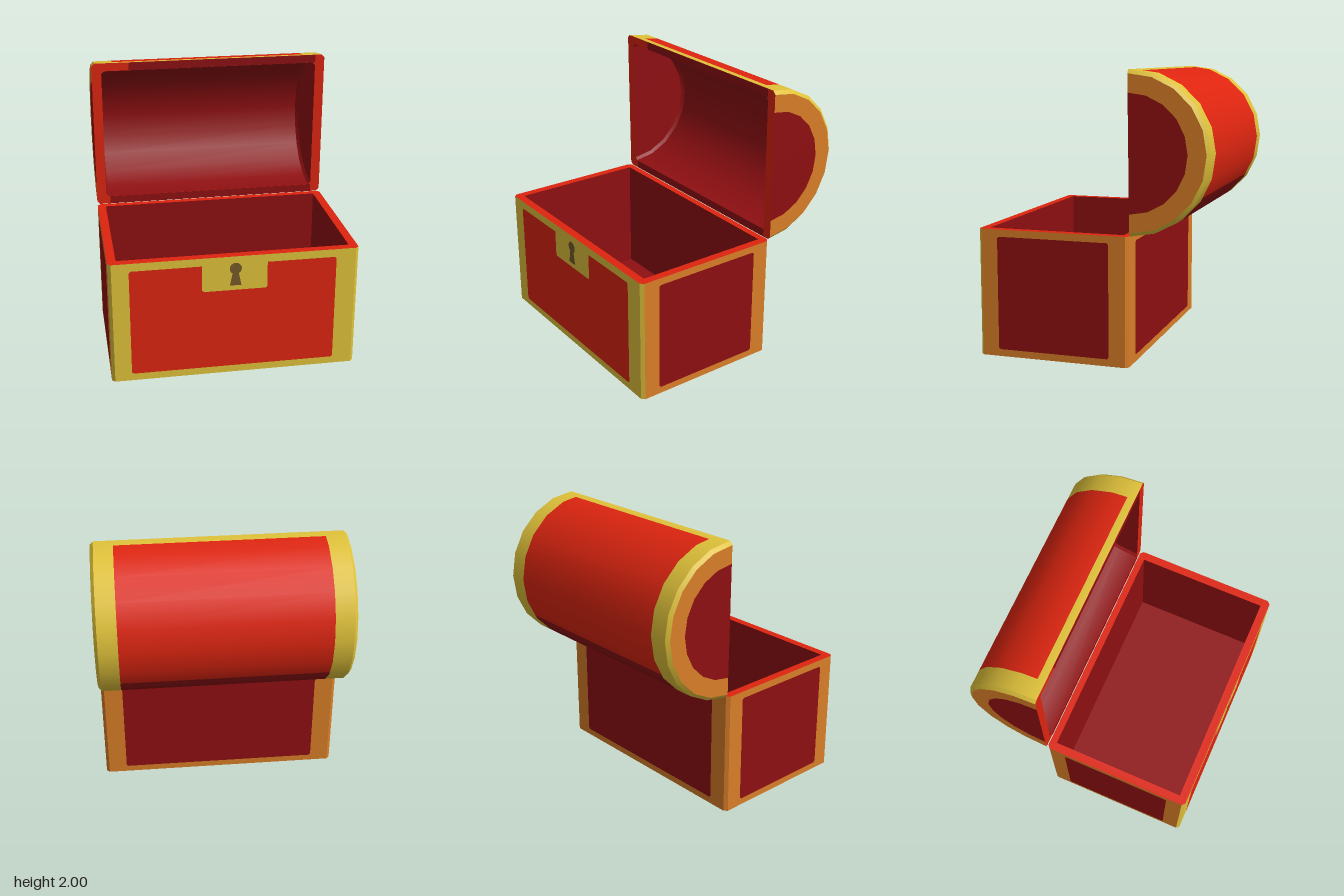
import * as THREE from 'three';

const mat = (name, color, side = THREE.FrontSide) => {
  const m = new THREE.MeshStandardMaterial({ color, side });
  m.name = name;
  return m;
};

export function createModel() {
  const red = mat('red', 0xde2510);
  const darkRed = mat('dark red', 0x8f0f12);
  const gold = mat('gold', 0xe0c23a);
  const orange = mat('orange brown', 0xd97e28);
  const brown = mat('keyhole brown', 0x755a28);

  const model = new THREE.Group();
  model.name = 'treasureChest';
  const add = (parent, name, geometry, material) => {
    const mesh = new THREE.Mesh(geometry, material);
    mesh.name = name;
    parent.add(mesh);
    return mesh;
  };

  // Rectangle with clipped corners, as a list of points
  const clipped = (x0, x1, y0, y1, c) => [
    [x0 + c, y0], [x1 - c, y0], [x1, y0 + c], [x1, y1 - c],
    [x1 - c, y1], [x0 + c, y1], [x0, y1 - c], [x0, y0 + c],
  ].map(([x, y]) => new THREE.Vector2(x, y));
  const rectPath = (x0, x1, y0, y1) => new THREE.Path([[x0, y0], [x1, y0], [x1, y1], [x0, y1]]
    .map(([x, y]) => new THREE.Vector2(x, y)));

  // ---- Base ----
  const base = new THREE.Group();
  base.name = 'base';
  model.add(base);
  const H = 0.9, W = 0.87, zF = 0.82, zB = -0.27, C = 0.022, floorY = 0.05;

  // Upright wall from (ax, az) to (bx, bz), facing right of travel seen from above
  const wall = (name, ax, az, bx, bz, y0, y1, material) => {
    const dx = bx - ax, dz = bz - az;
    const m = add(base, name, new THREE.PlaneGeometry(Math.hypot(dx, dz), y1 - y0), material);
    m.position.set((ax + bx) / 2, (y0 + y1) / 2, (az + bz) / 2);
    m.rotation.y = Math.atan2(-dz, dx);
  };

  // Outer walls with narrow corner chamfers
  const outline = clipped(-W, W, -zF, -zB, C);
  const wallMats = [gold, gold, orange, orange, orange, orange, orange, gold];
  const wallNames = ['frontWall', 'frontCorner', 'leftWall', 'backCorner',
    'backWall', 'backCorner', 'rightWall', 'frontCorner'];
  outline.forEach((p, i) => {
    const q = outline[(i + 1) % 8];
    wall(wallNames[i], p.x, -p.y, q.x, -q.y, 0, H, wallMats[i]);
  });

  // Inner walls and floor
  const inX = 0.81, inF = 0.76, inB = -0.22;
  const inner = [[-inX, inF], [-inX, inB], [inX, inB], [inX, inF]];
  inner.forEach((p, i) => wall('innerWall', ...p, ...inner[(i + 1) % 4], floorY, H, darkRed));
  const floor = add(base, 'floor', new THREE.PlaneGeometry(2 * inX, inF - inB), darkRed);
  floor.rotation.x = -Math.PI / 2;
  floor.position.set(0, floorY, (inF + inB) / 2);

  // Rim and underside
  const rimShape = new THREE.Shape(outline);
  rimShape.holes.push(rectPath(-inX, inX, -inF, -inB));
  const rim = add(base, 'rim', new THREE.ShapeGeometry(rimShape), red);
  rim.rotation.x = -Math.PI / 2;
  rim.position.y = H;
  const under = add(base, 'underside',
    new THREE.ShapeGeometry(new THREE.Shape(clipped(-W, W, zB, zF, C))), red);
  under.rotation.x = Math.PI / 2;

  // Painted panels on the four sides
  const panel = (name, w, h, x, y, z, turn, material) => {
    const m = add(base, name, new THREE.ShapeGeometry(
      new THREE.Shape(clipped(-w / 2, w / 2, -h / 2, h / 2, 0.012))), material);
    m.position.set(x, y, z);
    m.rotation.y = turn;
  };
  panel('frontPanel', 1.44, 0.79, -0.01, 0.448, zF + 0.002, 0, red);
  panel('backPanel', 1.43, 0.8, 0, 0.45, zB - 0.002, Math.PI, darkRed);
  for (const s of [-1, 1])
    panel('sidePanel', 0.81, 0.8, s * (W + 0.002), 0.45, 0.275, s * Math.PI / 2, darkRed);

  // Lock plate and keyhole
  panel('lockPlate', 0.455, 0.25, -0.005, 0.774, zF + 0.004, 0, gold);
  const key = new THREE.Shape();
  key.moveTo(-0.04, 0.685);
  key.lineTo(0.04, 0.685);
  key.lineTo(0.022, 0.775);
  key.absarc(0, 0.812, 0.042, -1.03, Math.PI + 1.03, false);
  key.lineTo(-0.022, 0.775);
  add(base, 'keyhole', new THREE.ShapeGeometry(key), brown).position.z = zF + 0.006;

  // ---- Lid, open and resting on the back edge ----
  const lid = new THREE.Group();
  lid.name = 'lid';
  lid.position.set(0, 1.45, -0.27);
  lid.rotation.x = 0.012;
  model.add(lid);
  const STEP = 18;

  // Ten-sided half barrel strip swept from profile point (x0, r0) to (x1, r1)
  const arc = (name, [x0, r0], [x1, r1], a0, a1, material) => {
    const angles = [a0];
    for (let a = -90; a < a1; a += STEP) if (a > a0) angles.push(a);
    angles.push(a1);
    const len = Math.hypot(x1 - x0, r1 - r0), nx = (r0 - r1) / len, nr = (x1 - x0) / len;
    const pos = [], nor = [], idx = [];
    angles.forEach((a, i) => {
      const t = THREE.MathUtils.degToRad(a), s = Math.sin(t), c = Math.cos(t);
      const off = ((a + 90) % STEP) - STEP / 2;
      const k = Math.cos(Math.PI / 20) / Math.cos(THREE.MathUtils.degToRad(off));
      for (const [x, r] of [[x0, r0], [x1, r1]]) {
        pos.push(x, r * k * s, -r * k * c);
        nor.push(nx, nr * s, -nr * c);
      }
      if (i) {
        const j = 2 * i - 2;
        idx.push(j, j + 2, j + 1, j + 1, j + 2, j + 3);
      }
    });
    const g = new THREE.BufferGeometry();
    g.setAttribute('position', new THREE.Float32BufferAttribute(pos, 3));
    g.setAttribute('normal', new THREE.Float32BufferAttribute(nor, 3));
    g.setIndex(idx);
    add(lid, name, g, material);
  };

  // End caps, bevels and gold bands, mirrored
  const R = 0.55, band = 0.715, cap = 0.525;
  const ends = [
    ['capCentre', [-W, 0], [-W, 0.4], darkRed],
    ['capRing', [-W, 0.4], [-W, cap], orange],
    ['capBevel', [-W, cap], [-W + C, R], gold],
    ['endBand', [-W + C, R], [-band, R], gold],
  ];
  for (const [name, p, q, m] of ends) {
    arc(name, p, q, -90, 90, m);
    arc(name, [-q[0], q[1]], [-p[0], p[1]], -90, 90, m);
  }

  // Barrel back: lower edge, shaded panel, main panel, upper edge
  const L = [-band, R], Rt = [band, R];
  arc('lowerEdge', L, Rt, -90, -84, orange);
  arc('lowerPanel', L, Rt, -84, -33, darkRed);
  arc('mainPanel', L, Rt, -33, 84, red);
  arc('upperEdge', L, Rt, 84, 90, gold);

  // Hollow inside
  const iw = 0.8, ir = 0.49, b = 0.02;
  arc('inside', [iw - b, ir], [-iw + b, ir], -90, 90, darkRed);
  for (const s of [-1, 1]) {
    const bevel = [[s * iw, ir - b], [s * (iw - b), ir]];
    const end = [[s * iw, 0], [s * iw, ir - b]];
    if (s < 0) { bevel.reverse(); end.reverse(); }
    arc('insideBevel', ...bevel, -90, 90, darkRed);
    arc('insideEnd', ...end, -90, 90, darkRed);
  }

  // Lid rim with darker long edges
  const lidShape = new THREE.Shape(clipped(-W, W, -R, R, C));
  lidShape.holes.push(new THREE.Path(clipped(-iw, iw, -ir, ir, b)));
  add(lid, 'lidRim', new THREE.ShapeGeometry(lidShape), red);
  for (const [y, x0, x1] of [[0.52, -0.6, 0.8], [-0.52, -0.77, 0.8]])
    add(lid, 'rimStripe', new THREE.PlaneGeometry(x1 - x0, 0.058), darkRed)
      .position.set((x0 + x1) / 2, y, 0.002);

  return model;
}
